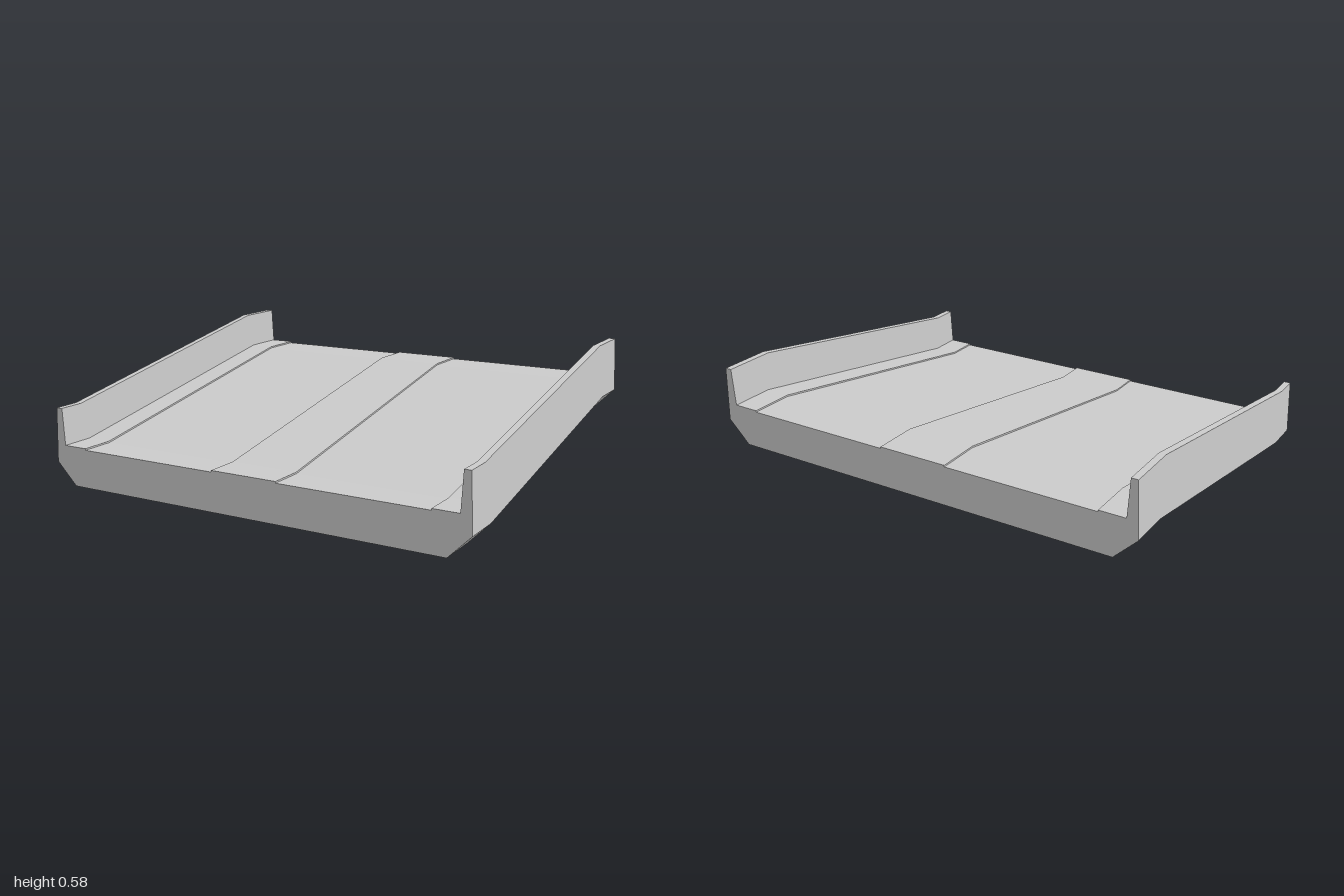
import * as THREE from 'three';

const HALF_LENGTH = 0.83; // half the depth along z
const RISE = 0.233;       // height gained from front to back
const MITRE = 0.19;       // how far each bend shifts forward per unit of height

// Right half of the cross-section, from the bottom edge up and over to the middle of the deck
const halfProfile = [
  [0.9, 0], [1, 0.1], [0.99, 0.345], [0.96, 0.345], [0.95, 0.179],
  [0.835, 0.179], [0.835, 0.172], [0.157, 0.172], [0.157, 0.179],
];

function crossSection() {
  const mirrored = halfProfile.map(([x, y]) => [-x, y]).reverse();
  return new THREE.Shape([...halfProfile, ...mirrored].map(([x, y]) => new THREE.Vector2(x, y)));
}

export function createModel() {
  const group = new THREE.Group();
  group.name = 'rampTrack';

  // Three spans: level back end, slope, level front end
  const geometry = new THREE.ExtrudeGeometry(crossSection(), { depth: 3, steps: 3, bevelEnabled: false });
  const p = geometry.attributes.position;
  for (let i = 0; i < p.count; i++) {
    const h = p.getY(i);
    const ring = Math.round(p.getZ(i));
    // Mitred bends: the bend plane leans forward with height
    const z = [-HALF_LENGTH, -0.665 + MITRE * h, 0.645 + MITRE * h, HALF_LENGTH][ring];
    p.setXYZ(i, p.getX(i), h + (ring < 2 ? RISE : 0), z);
  }
  geometry.computeVertexNormals();

  const track = new THREE.Mesh(
    geometry,
    new THREE.MeshStandardMaterial({ color: 0xcccccc, flatShading: true }),
  );
  track.name = 'slopedDeckWithSideWalls';
  group.add(track);
  return group;
}
